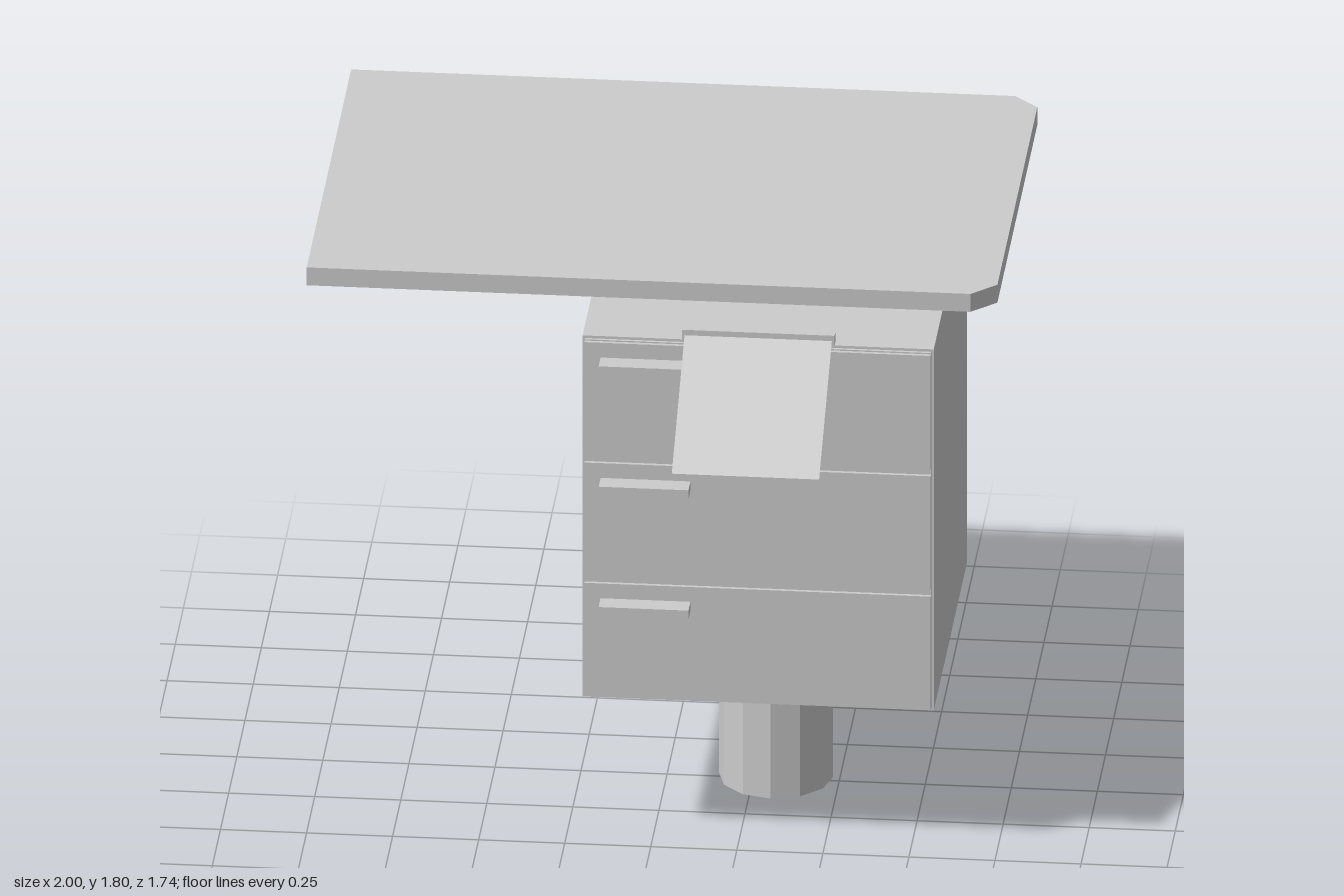
import * as THREE from 'three';

const material = new THREE.MeshStandardMaterial({ color: 0xcccccc, flatShading: true });
const sheetMaterial = new THREE.MeshStandardMaterial({ color: 0xcccccc, side: THREE.DoubleSide });

// Box given by its extents on each axis
function box(name, [x0, x1], [y0, y1], [z0, z1]) {
  const mesh = new THREE.Mesh(new THREE.BoxGeometry(x1 - x0, y1 - y0, z1 - z0), material);
  mesh.position.set((x0 + x1) / 2, (y0 + y1) / 2, (z0 + z1) / 2);
  mesh.name = name;
  return mesh;
}

export function createModel() {
  const model = new THREE.Group();
  model.name = 'deskCabinet';

  // Table top with two clipped corners on the +x end
  const outline = new THREE.Shape([
    [-1, -0.867], [0.928, -0.867], [1, -0.797],
    [1, 0.425], [0.928, 0.495], [-1, 0.495],
  ].map(([x, z]) => new THREE.Vector2(x, z)));
  const topGeometry = new THREE.ExtrudeGeometry(outline, { depth: 0.057, bevelEnabled: false });
  topGeometry.rotateX(Math.PI / 2);
  const tableTop = new THREE.Mesh(topGeometry, material);
  tableTop.name = 'tableTop';
  tableTop.position.y = 1.802;
  model.add(tableTop);

  // Twelve-sided column running through the cabinet
  const column = new THREE.Mesh(new THREE.CylinderGeometry(0.166, 0.166, 1.735, 12), material);
  column.name = 'column';
  column.position.set(0.314, 0.8675, -0.027);
  model.add(column);

  // Cabinet and the thin plate behind the drawer fronts
  model.add(box('cabinet', [-0.2, 0.82], [0.46, 1.612], [-0.54, 0.477]));
  model.add(box('frontPlate', [-0.193, 0.813], [0.468, 1.604], [0.477, 0.486]));

  // Three drawers with off-centre handles
  for (let i = 0; i < 3; i++) {
    const y = 0.47 + i * 0.384;
    const drawer = new THREE.Group();
    drawer.name = `drawer${i + 1}`;
    drawer.add(box('drawerFront', [-0.193, 0.813], [y, y + 0.362], [0.486, 0.497]));
    drawer.add(box('handle', [-0.146, 0.115], [y + 0.286, y + 0.315], [0.497, 0.558]));
    model.add(drawer);
  }

  // Clip bar on the cabinet's front edge, with a sheet sloping out from it
  model.add(box('clipBar', [0.088, 0.532], [1.61, 1.643], [0.454, 0.478]));
  const drop = 0.265, reach = 0.396;
  const sheet = new THREE.Mesh(new THREE.PlaneGeometry(0.428, Math.hypot(drop, reach)), sheetMaterial);
  sheet.name = 'sheet';
  sheet.rotation.x = -Math.atan2(reach, drop);
  sheet.position.set(0.31, 1.63 - drop / 2, 0.472 + reach / 2);
  model.add(sheet);

  return model;
}
